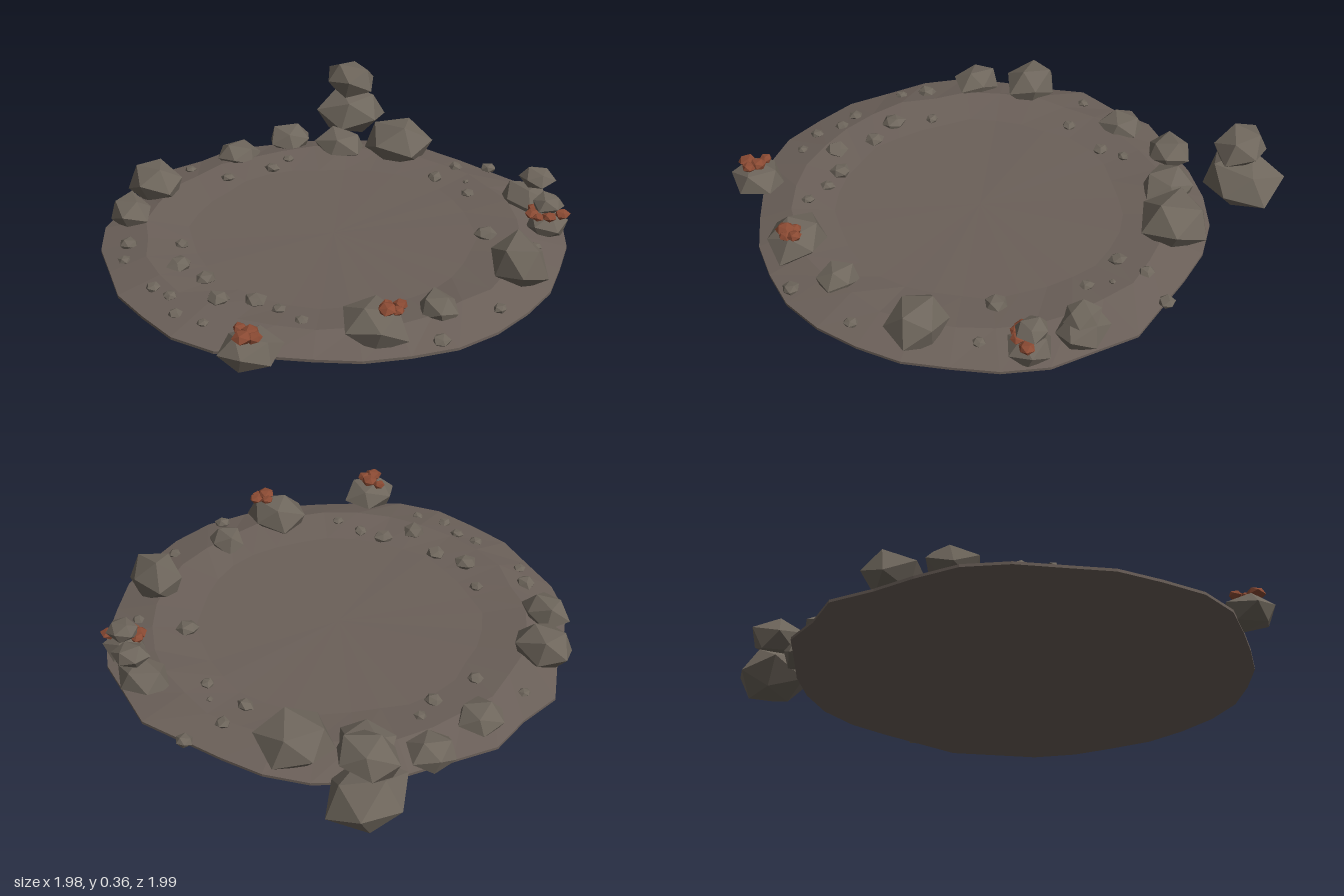
import * as THREE from 'three';
import { mergeVertices } from 'three/addons/utils/BufferGeometryUtils.js';

let seed = 7;
const rand = () => {
  seed = (seed * 16807) % 2147483647;
  return seed / 2147483647;
};

function material(name, color) {
  const m = new THREE.MeshStandardMaterial({ color, flatShading: true });
  m.name = name;
  return m;
}

// Faceted boulder standing on one vertex, roughened, with its underside cut flat at floorY
function stone(name, mat, [x, y, z], [rx, ry, rz], floorY = -1, rough = 0.1) {
  let g = new THREE.IcosahedronGeometry(1, 0);
  g.deleteAttribute('uv');
  g.deleteAttribute('normal');
  g = mergeVertices(g, 1e-3);
  g.rotateX(Math.atan(2 / (1 + Math.sqrt(5))));
  g.rotateY(rand() * Math.PI * 2);
  const p = g.attributes.position;
  for (let i = 0; i < p.count; i++) {
    const s = 1 + (rand() - 0.5) * 2 * rough;
    const top = Math.abs(p.getY(i)) > 0.9 ? 1 : s;
    const py = y + p.getY(i) * ry * top;
    p.setXYZ(i, x + p.getX(i) * rx * s, Math.max(py, floorY), z + p.getZ(i) * rz * s);
  }
  g = g.toNonIndexed();
  g.computeVertexNormals();
  const mesh = new THREE.Mesh(g, mat);
  mesh.name = name;
  return mesh;
}

// Shallow basin: uneven outline, raised lip, sunken floor, flat underside
function basin(mat) {
  const outline = [
    0.99, 0.99, 0.97, 0.965, 0.95, 0.96, 1.0, 1.01, 0.99, 0.995, 0.975, 0.995, 1.0, 0.97, 0.96, 1.01,
    0.97, 1.0, 0.965, 0.97, 0.98, 0.99, 0.98, 0.96, 0.965, 1.01, 0.99, 1.01, 1.0, 0.98, 0.99, 0.985,
  ];
  const n = outline.length;
  const lip = outline.map(() => [0.79 + rand() * 0.03, 0.05 + rand() * 0.012]);
  const floor = outline.map(() => [0.6 + rand() * 0.03, 0.034 + rand() * 0.004]);
  const rings = [
    () => [0, 0],
    (k) => [outline[k], 0],
    (k) => [outline[k], 0.012],
    (k) => lip[k],
    (k) => floor[k],
    () => [0, 0.034],
  ];
  const point = (i, k) => {
    const [r, y] = rings[i](k % n);
    const a = (k / n) * Math.PI * 2;
    return [r * Math.cos(a), y, r * Math.sin(a)];
  };
  const pos = [];
  for (let i = 0; i < rings.length - 1; i++) {
    for (let k = 0; k < n; k++) {
      const a = point(i, k), b = point(i, k + 1), c = point(i + 1, k), d = point(i + 1, k + 1);
      if (i > 0) pos.push(...c, ...b, ...a);
      if (i < rings.length - 2) pos.push(...c, ...d, ...b);
    }
  }
  const g = new THREE.BufferGeometry();
  g.setAttribute('position', new THREE.Float32BufferAttribute(pos, 3));
  g.computeVertexNormals();
  const mesh = new THREE.Mesh(g, mat);
  mesh.name = 'basinGround';
  return mesh;
}

export function createModel() {
  const root = new THREE.Group();
  root.name = 'rockBasin';
  const earth = material('earthBrown', 0x6b6059);
  const rock = material('rockGrey', 0x6e665c);
  const rust = material('rustRed', 0x8a4a33);

  root.add(basin(earth));

  // Boulders around the rim: x, z, half width, half depth, top height
  const boulders = new THREE.Group();
  boulders.name = 'boulders';
  for (const [x, z, w, d, h] of [
    [-0.81, -0.8, 0.16, 0.17, 0.22],
    [-0.4, -0.74, 0.155, 0.14, 0.2],
    [-0.61, -0.56, 0.125, 0.11, 0.14],
    [-0.82, -0.42, 0.1, 0.095, 0.13],
    [-0.85, -0.13, 0.1, 0.1, 0.115],
    [-0.81, 0.37, 0.13, 0.105, 0.19],
    [-0.67, 0.595, 0.11, 0.09, 0.15],
    [0.77, -0.34, 0.13, 0.115, 0.22],
    [0.765, 0.105, 0.088, 0.078, 0.13],
    [0.715, 0.395, 0.137, 0.12, 0.185],
    [0.515, 0.85, 0.107, 0.122, 0.13],
    [0.355, -0.825, 0.117, 0.097, 0.135],
    [0.56, -0.73, 0.09, 0.088, 0.125],
  ]) {
    boulders.add(stone('boulder', rock, [x, h * 0.43, z], [w * 1.06, h * 0.57, d * 1.06], 0.003));
  }
  root.add(boulders);

  // Smaller rocks balanced on top of boulders
  const stacked = new THREE.Group();
  stacked.name = 'stackedRocks';
  stacked.add(
    stone('stackedRock', rock, [-0.8, 0.275, -0.785], [0.135, 0.09, 0.115], 0.205),
    stone('stackedRock', rock, [0.39, 0.17, -0.85], [0.08, 0.05, 0.08], 0.12),
    stone('stackedRock', rock, [0.555, 0.15, -0.74], [0.075, 0.046, 0.07], 0.105),
  );
  root.add(stacked);

  // Pebbles scattered in the basin: x, z, radius
  const pebbles = new THREE.Group();
  pebbles.name = 'pebbles';
  for (const [x, z, r] of [
    [-0.02, -0.97, 0.038], [-0.09, -0.82, 0.033], [0.05, -0.75, 0.014], [-0.08, -0.68, 0.038],
    [0.13, -0.68, 0.032], [0.45, -0.47, 0.047], [0.66, -0.56, 0.03], [0.9, -0.1, 0.03],
    [0.91, 0.23, 0.037], [-0.66, -0.28, 0.026], [-0.64, -0.17, 0.036], [-0.69, 0.05, 0.033],
    [-0.89, 0.12, 0.026], [-0.32, 0.57, 0.032], [-0.47, 0.74, 0.046], [-0.38, 0.82, 0.028],
    [-0.18, 0.68, 0.053], [-0.03, 0.66, 0.044], [-0.11, 0.86, 0.031], [-0.01, 0.85, 0.03],
    [0.1, 0.9, 0.032], [0.15, 0.73, 0.05], [0.24, 0.61, 0.047], [0.35, 0.58, 0.032],
    [0.48, 0.57, 0.027], [0.23, 0.86, 0.026],
  ]) {
    const d = Math.hypot(x, z);
    const ground = d > 0.8 ? 0.055 - (d - 0.8) * 0.22 : 0.036 + Math.max(0, d - 0.6) * 0.1;
    pebbles.add(stone('pebble', rock, [x, ground + r * 0.15, z], [r, r * 0.6, r], 0.005, 0.15));
  }
  root.add(pebbles);

  // Rust-coloured nodules clinging to three boulders: x, y, z, radius
  const nodules = new THREE.Group();
  nodules.name = 'rustNodules';
  for (const [x, y, z, r] of [
    [0.78, 0.17, 0.33, 0.032], [0.745, 0.165, 0.365, 0.03], [0.775, 0.172, 0.39, 0.042], [0.8, 0.165, 0.36, 0.028],
    [0.46, 0.125, 0.85, 0.028], [0.515, 0.13, 0.84, 0.038], [0.53, 0.132, 0.89, 0.04], [0.555, 0.13, 0.855, 0.034],
    [0.53, 0.108, -0.675, 0.034], [0.57, 0.11, -0.67, 0.026], [0.505, 0.112, -0.71, 0.03],
    [0.62, 0.112, -0.765, 0.034], [0.6, 0.112, -0.705, 0.032],
  ]) {
    nodules.add(stone('rustNodule', rust, [x, y, z], [r, r * 0.65, r], 0, 0.12));
  }
  root.add(nodules);

  return root;
}
